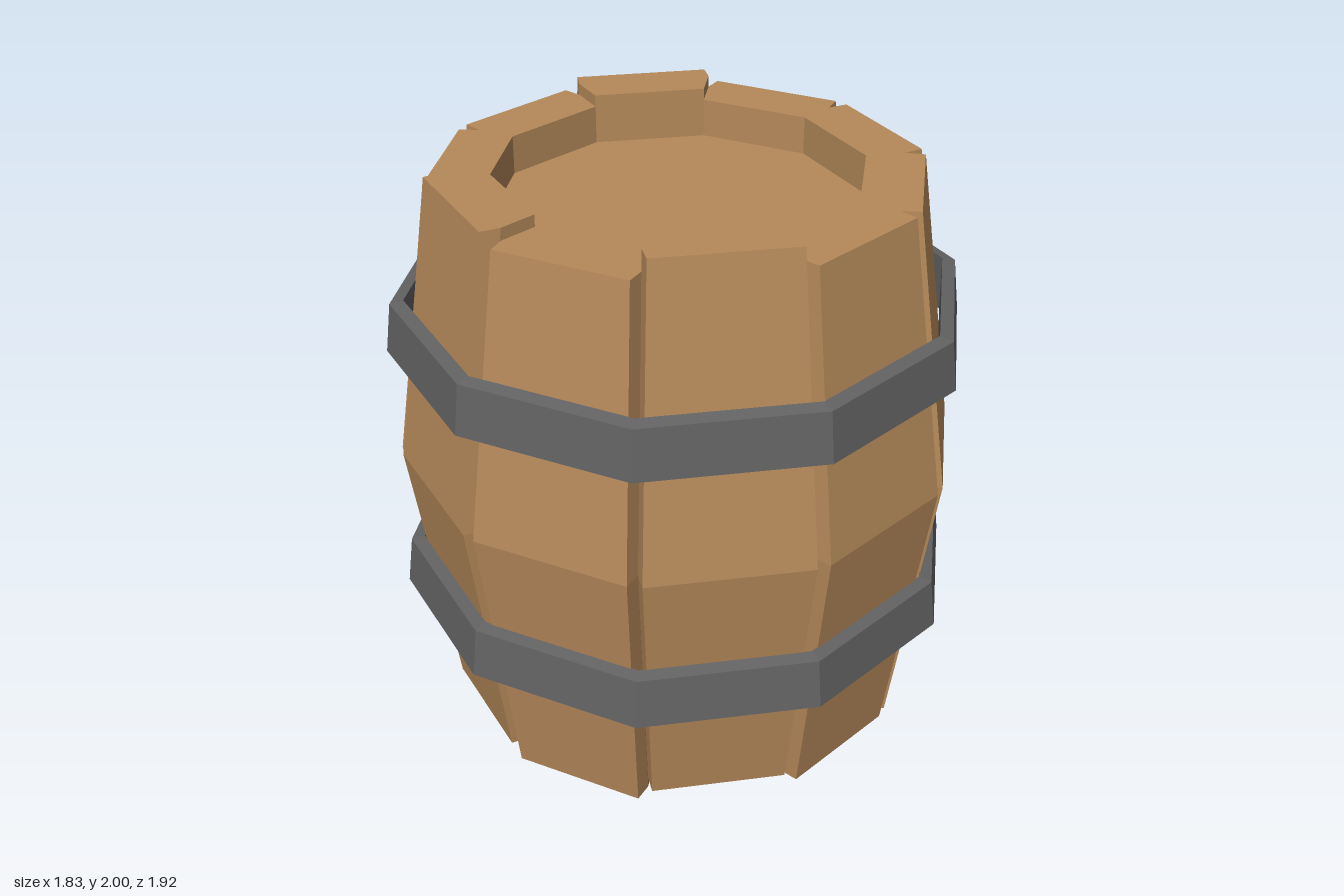
import * as THREE from 'three';

const SIDES = 10;
const STEP = (Math.PI * 2) / SIDES;
const HALF = STEP / 2;
const INNER_RADIUS = 0.61;
const END_RADIUS = 0.81;
const BELLY_RADIUS = 0.95;

const wood = new THREE.MeshStandardMaterial({ color: 0xb5895a, flatShading: true });
const iron = new THREE.MeshStandardMaterial({ color: 0x626262, flatShading: true });

// Horizontal outline of one stave facing +z, with chamfered outer corners
function staveOutline(radius) {
  const s = Math.sin(HALF), c = Math.cos(HALF);
  const seam = radius - 0.07;
  const edge = radius * s - 0.025;
  return [
    [-INNER_RADIUS * s, INNER_RADIUS * c], [-seam * s, seam * c],
    [-edge, radius * c], [edge, radius * c],
    [seam * s, seam * c], [INNER_RADIUS * s, INNER_RADIUS * c],
  ];
}

// Bulging plank joined from three outlines: bottom, belly and top
function staveGeometry(bottom, top) {
  const levels = [
    [bottom, END_RADIUS], [0.98, BELLY_RADIUS], [top, END_RADIUS],
  ];
  const positions = [];
  for (const [y, radius] of levels) {
    for (const [x, z] of staveOutline(radius)) positions.push(x, y, z);
  }
  const n = 6;
  const index = [];
  for (let l = 0; l < 2; l++) {
    for (let i = 0; i < n; i++) {
      const a = l * n + i, b = l * n + (i + 1) % n;
      index.push(a, b, b + n, a, b + n, a + n);
    }
  }
  for (let i = 1; i < n - 1; i++) {
    index.push(0, i + 1, i);
    index.push(2 * n, 2 * n + i, 2 * n + i + 1);
  }
  const indexed = new THREE.BufferGeometry();
  indexed.setAttribute('position', new THREE.Float32BufferAttribute(positions, 3));
  indexed.setIndex(index);
  const geometry = indexed.toNonIndexed();
  geometry.computeVertexNormals();
  return geometry;
}

// Ten-sided iron band with a slightly flared, bevelled section
function hoopGeometry() {
  const section = [
    [0.9, 0], [0.962, 0.012], [0.941, 0.18], [0.896, 0.19], [0.9, 0],
  ].map(([r, y]) => new THREE.Vector2(r, y));
  const geometry = new THREE.LatheGeometry(section, SIDES).toNonIndexed();
  geometry.computeVertexNormals();
  return geometry;
}

export function createModel() {
  const barrel = new THREE.Group();
  barrel.name = 'barrel';

  const add = (name, geometry, material, y = 0) => {
    const mesh = new THREE.Mesh(geometry, material);
    mesh.name = name;
    mesh.position.y = y;
    barrel.add(mesh);
    return mesh;
  };

  // Staves, three of which sit higher than the rest
  const raised = { 0: [0.04, 2.0], 5: [0.04, 1.97], 8: [0.04, 1.97] };
  for (let i = 0; i < SIDES; i++) {
    const [bottom, top] = raised[i] ?? [0, 1.93];
    add(`stave${i + 1}`, staveGeometry(bottom, top), wood).rotation.y = HALF + i * STEP;
  }

  // Recessed round heads closing both ends
  const head = new THREE.CylinderGeometry(INNER_RADIUS, INNER_RADIUS, 0.06, SIDES);
  add('bottomHead', head, wood, 0.2);
  add('topHead', head, wood, 1.77);

  // Iron hoops
  const hoop = hoopGeometry();
  add('lowerHoop', hoop, iron, 0.437);
  add('upperHoop', hoop, iron, 1.352);

  return barrel;
}
